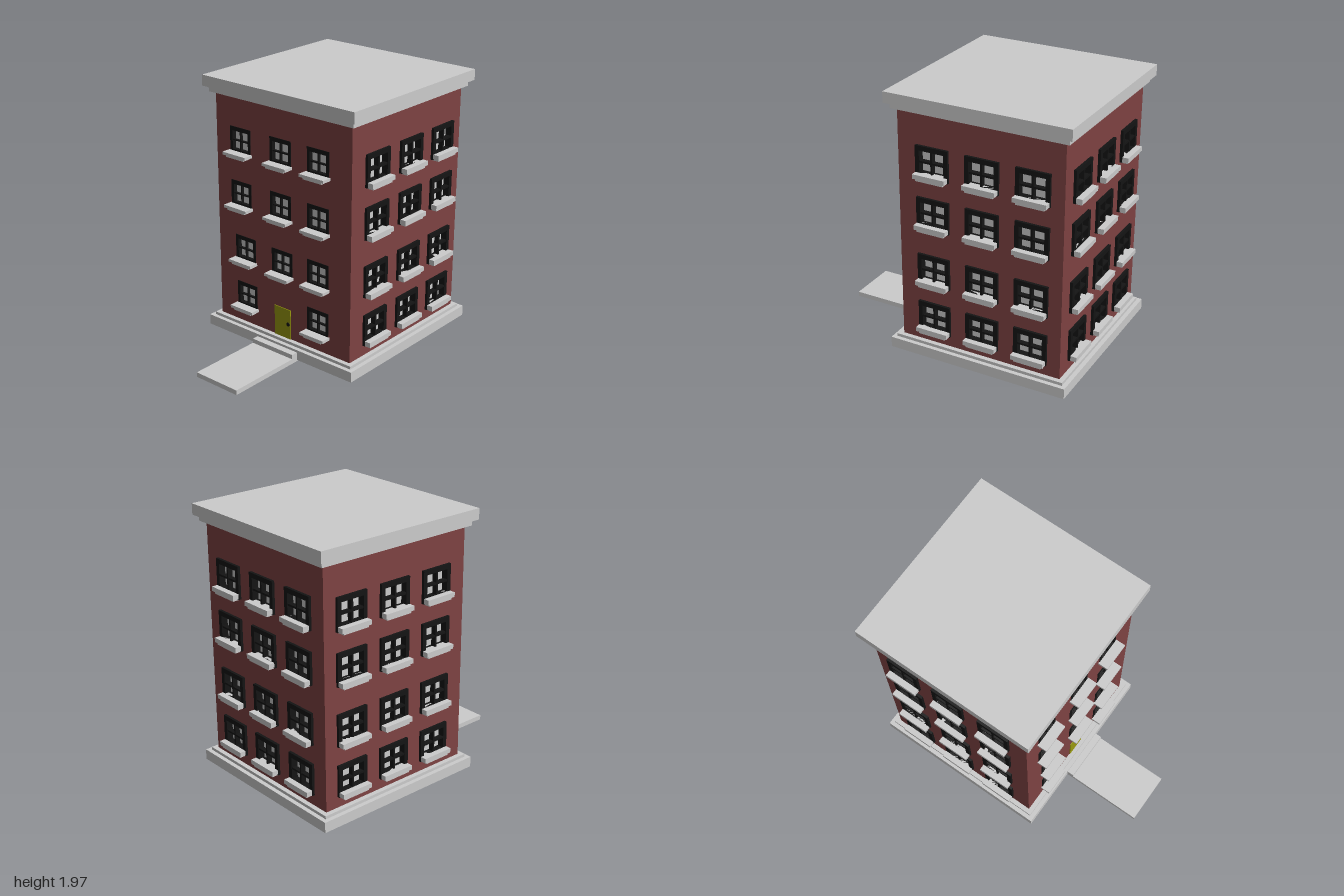
import * as THREE from 'three';

const grey = new THREE.MeshStandardMaterial({ color: 0xcccccc });
const brick = new THREE.MeshStandardMaterial({ color: 0x7e4242 });
const black = new THREE.MeshStandardMaterial({ color: 0x141414 });
const doorPaint = new THREE.MeshStandardMaterial({ color: 0x99990e });

const HALF = 0.62;       // half width of the square tower
const CENTRE_Z = -0.313;
const WALL_BOTTOM = 0.1, WALL_TOP = 1.85, WALL_DEPTH = 0.05;

// Box given by its lower and upper limits on each axis
function block(name, [x0, x1], [y0, y1], [z0, z1], material) {
  const mesh = new THREE.Mesh(new THREE.BoxGeometry(x1 - x0, y1 - y0, z1 - z0), material);
  mesh.position.set((x0 + x1) / 2, (y0 + y1) / 2, (z0 + z1) / 2);
  mesh.name = name;
  return mesh;
}

function rectangle(PathType, x0, x1, y0, y1) {
  const p = new PathType();
  p.moveTo(x0, y0);
  p.lineTo(x1, y0);
  p.lineTo(x1, y1);
  p.lineTo(x0, y1);
  p.closePath();
  return p;
}

function slab(name, shape, back, front, material) {
  const geometry = new THREE.ExtrudeGeometry(shape, { depth: front - back, bevelEnabled: false });
  geometry.translate(0, 0, back);
  const mesh = new THREE.Mesh(geometry, material);
  mesh.name = name;
  return mesh;
}

// Window styles; heights are measured down from the top of the frame
const largeWindow = {
  width: 0.25, bottom: -0.235, openWidth: 0.187, openTop: -0.035, openBottom: -0.195,
  front: 0.02, bar: 0.014,
  sill: { width: 0.246, top: -0.195, mid: -0.228, low: -0.245, out: 0.065, lowWidth: 0.21, lowOut: 0.055 },
};
const smallWindow = {
  width: 0.195, bottom: -0.19, openWidth: 0.146, openTop: -0.031, openBottom: -0.168,
  front: 0.003, bar: 0.009,
  sill: { width: 0.216, top: -0.18, mid: -0.201, low: -0.216, out: 0.075, lowWidth: 0.165, lowOut: 0.065 },
};

function makeWindow(s) {
  const group = new THREE.Group();
  group.name = 'window';
  const w = s.width / 2, o = s.openWidth / 2, b = s.bar / 2;
  const middle = (s.openTop + s.openBottom) / 2;

  const outline = rectangle(THREE.Shape, -w, w, s.bottom, 0);
  outline.holes.push(rectangle(THREE.Path, -o, o, s.openBottom, s.openTop));
  group.add(slab('windowFrame', outline, -0.04, s.front, black));

  // Crossing glazing bars in front of the recessed pane
  const barFront = s.front - 0.002;
  group.add(block('uprightBar', [-b, b], [s.openBottom, s.openTop], [-0.02, barFront], black));
  group.add(block('crossBar', [-o, o], [middle - b, middle + b], [-0.02, barFront - 0.001], black));
  group.add(block('pane', [-o, o], [s.openBottom, s.openTop], [-0.04, -0.03], grey));

  // Two stepped sill stones
  const k = s.sill;
  group.add(block('sill', [-k.width / 2, k.width / 2], [k.mid, k.top], [-0.01, k.out], grey));
  group.add(block('sillSupport', [-k.lowWidth / 2, k.lowWidth / 2], [k.low, k.mid], [-0.01, k.lowOut], grey));
  return group;
}

// One wall with its openings and windows; its outside faces local +z
function makeFacade(name, angle, half, style, places) {
  const group = new THREE.Group();
  group.name = name;
  const wall = rectangle(THREE.Shape, -half, half, WALL_BOTTOM, WALL_TOP);
  const inset = 0.004;
  for (const [x, y] of places) {
    const w = style.width / 2 - inset;
    wall.holes.push(rectangle(THREE.Path, x - w, x + w, y + style.bottom + inset, y - inset));
    const win = makeWindow(style);
    win.position.set(x, y, 0);
    group.add(win);
  }
  group.add(slab('brickWall', wall, -WALL_DEPTH, 0, brick));
  group.position.set(Math.sin(angle) * HALF, 0, Math.cos(angle) * HALF);
  group.rotation.y = angle;
  return group;
}

function grid(columns, rows) {
  return rows.flatMap((y) => columns.map((x) => [x, y]));
}

export function createModel() {
  const model = new THREE.Group();
  model.name = 'apartmentBuilding';

  const tower = new THREE.Group();
  tower.name = 'tower';
  tower.position.z = CENTRE_Z;
  model.add(tower);

  // Stepped plinth and cornice
  const tiers = [
    ['plinth', 0.687, 0.01, 0.088],
    ['plinthStep', 0.655, 0.088, 0.11],
    ['corniceStep', 0.655, 1.845, 1.887],
    ['roofSlab', 0.687, 1.887, 1.967],
  ];
  for (const [name, r, y0, y1] of tiers) {
    tower.add(block(name, [-r, r], [y0, y1], [-r, r], grey));
  }

  // Four facades; the front windows are smaller and slightly uneven
  const rows = [1.613, 1.233, 0.8, 0.426];
  const frontPlaces = [
    [-0.39, 1.62], [-0.013, 1.622], [0.328, 1.624],
    [-0.39, 1.216], [-0.014, 1.22], [0.328, 1.214],
    [-0.357, 0.797], [-0.004, 0.789], [0.328, 0.797],
    [-0.349, 0.427], [0.328, 0.427],
  ];
  const sideColumns = [-0.353, 0.024, 0.397];
  const narrow = HALF - WALL_DEPTH;
  tower.add(makeFacade('frontFacade', 0, HALF, smallWindow, frontPlaces));
  tower.add(makeFacade('backFacade', Math.PI, HALF, largeWindow, grid([-0.375, 0, 0.375], rows)));
  tower.add(makeFacade('leftFacade', Math.PI / 2, narrow, largeWindow, grid(sideColumns, rows)));
  tower.add(makeFacade('rightFacade', -Math.PI / 2, narrow, largeWindow, grid(sideColumns.map((x) => -x), rows)));

  // Front door and knob
  model.add(block('door', [-0.077, 0.074], [0.11, 0.342], [0.29, 0.313], doorPaint));
  const knob = new THREE.Mesh(new THREE.CylinderGeometry(0.015, 0.015, 0.006, 20), black);
  knob.name = 'doorKnob';
  knob.rotation.x = Math.PI / 2;
  knob.position.set(0.054, 0.227, 0.315);
  model.add(knob);

  // Walkway running under the plinth, with one doorstep
  model.add(block('walkway', [-0.194, 0.19], [0, 0.036], [-0.68, 1], grey));
  model.add(block('doorstep', [-0.194, 0.19], [0.036, 0.07], [0.3, 0.425], grey));

  return model;
}
